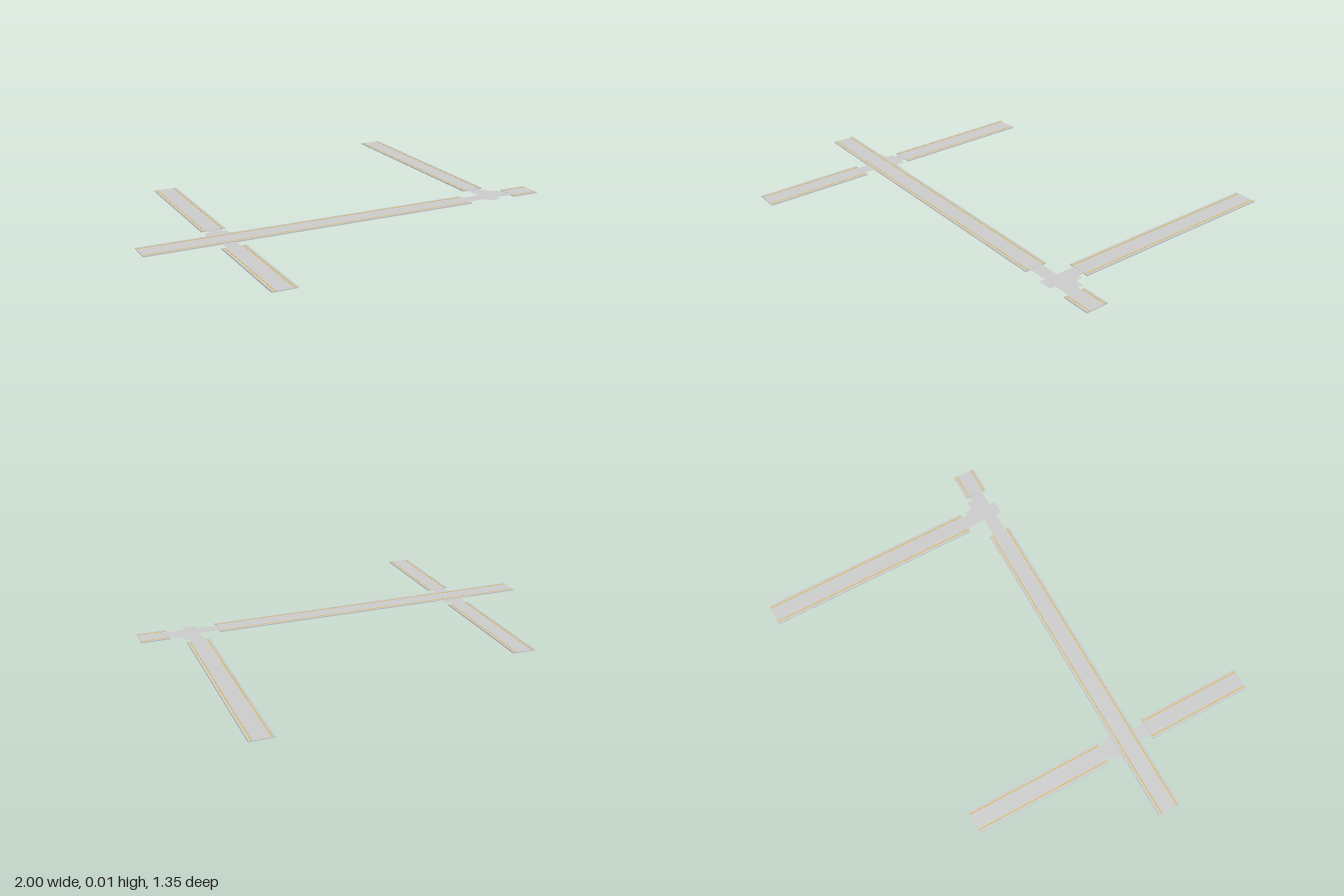
import * as THREE from 'three';

const ANGLE = -0.4; // the street grid is turned about the vertical
const WIDTH = 0.103;
const grey = new THREE.MeshStandardMaterial({ color: 0xcccccc });
const sheetGrey = new THREE.MeshStandardMaterial({ color: 0xcccccc, side: THREE.DoubleSide });
const yellow = new THREE.MeshStandardMaterial({ color: 0xd8b84a });

function strip(name, length, width, bottom, top, offset, material) {
  const mesh = new THREE.Mesh(new THREE.BoxGeometry(length, top - bottom, width), material);
  mesh.position.set(0, (top + bottom) / 2, offset);
  mesh.name = name;
  return mesh;
}

// Straight road between two ground points [x, z]
function road(name, [x1, z1], [x2, z2]) {
  const g = new THREE.Group();
  g.name = name;
  const length = Math.hypot(x2 - x1, z2 - z1);
  g.add(strip('deck', length, WIDTH, 0, 0.0045, 0, grey));
  for (const s of [-1, 1]) {
    g.add(strip('kerb', length, 0.008, 0.0045, 0.006, s * (WIDTH / 2 - 0.004), grey));
    g.add(strip('edgeLine', length, 0.004, 0.0045, 0.005, s * 0.038, yellow));
  }
  g.position.set((x1 + x2) / 2, 0, (z1 + z2) / 2);
  g.rotation.y = -Math.atan2(z2 - z1, x2 - x1);
  return g;
}

// Flat junction: narrow crossing arms, with flared corners on the back side
function junction(name, x, z, frontArm, flareLeft, flareRight) {
  const a = 0.03, w = 0.048, e = 0.12;
  const s = new THREE.Shape();
  s.moveTo(-a, -frontArm);
  s.lineTo(a, -frontArm);
  s.lineTo(a, -a);
  s.lineTo(e, -a);
  s.lineTo(e, a);
  if (flareRight) {
    s.lineTo(0.09, a);
    s.lineTo(0.09, 0.058);
    s.lineTo(0.078, 0.058);
    s.quadraticCurveTo(w, w, w, 0.078);
    s.lineTo(w, 0.092);
    s.lineTo(a, 0.092);
  } else s.lineTo(a, a);
  s.lineTo(a, e);
  s.lineTo(-a, e);
  if (flareLeft) {
    s.lineTo(-a, 0.092);
    s.lineTo(-w, 0.092);
    s.lineTo(-w, 0.078);
    s.quadraticCurveTo(-w, w, -0.078, 0.058);
    s.lineTo(-0.09, 0.058);
    s.lineTo(-0.09, a);
  } else s.lineTo(-a, a);
  s.lineTo(-e, a);
  s.lineTo(-e, -a);
  s.lineTo(-a, -a);
  const geometry = new THREE.ShapeGeometry(s, 8).rotateX(-Math.PI / 2);
  const mesh = new THREE.Mesh(geometry, sheetGrey);
  mesh.name = name;
  mesh.position.set(x, 0.003, z);
  mesh.rotation.y = ANGLE;
  return mesh;
}

export function createModel() {
  const model = new THREE.Group();
  model.name = 'roadNetwork';
  model.add(
    road('mainRoad', [-0.98, -0.102], [0.405, 0.483]),
    road('mainRoadEnd', [0.615, 0.572], [0.733, 0.622]),
    road('backSideRoad', [-0.362, -0.66], [-0.612, -0.078]),
    road('frontSideRoad', [-0.698, 0.13], [-0.888, 0.575]),
    road('longSideRoad', [0.948, -0.485], [0.56, 0.42]),
    junction('crossJunction', -0.657, 0.03, 0.115, true, true),
    junction('teeJunction', 0.516, 0.528, 0.057, false, true),
  );
  return model;
}
